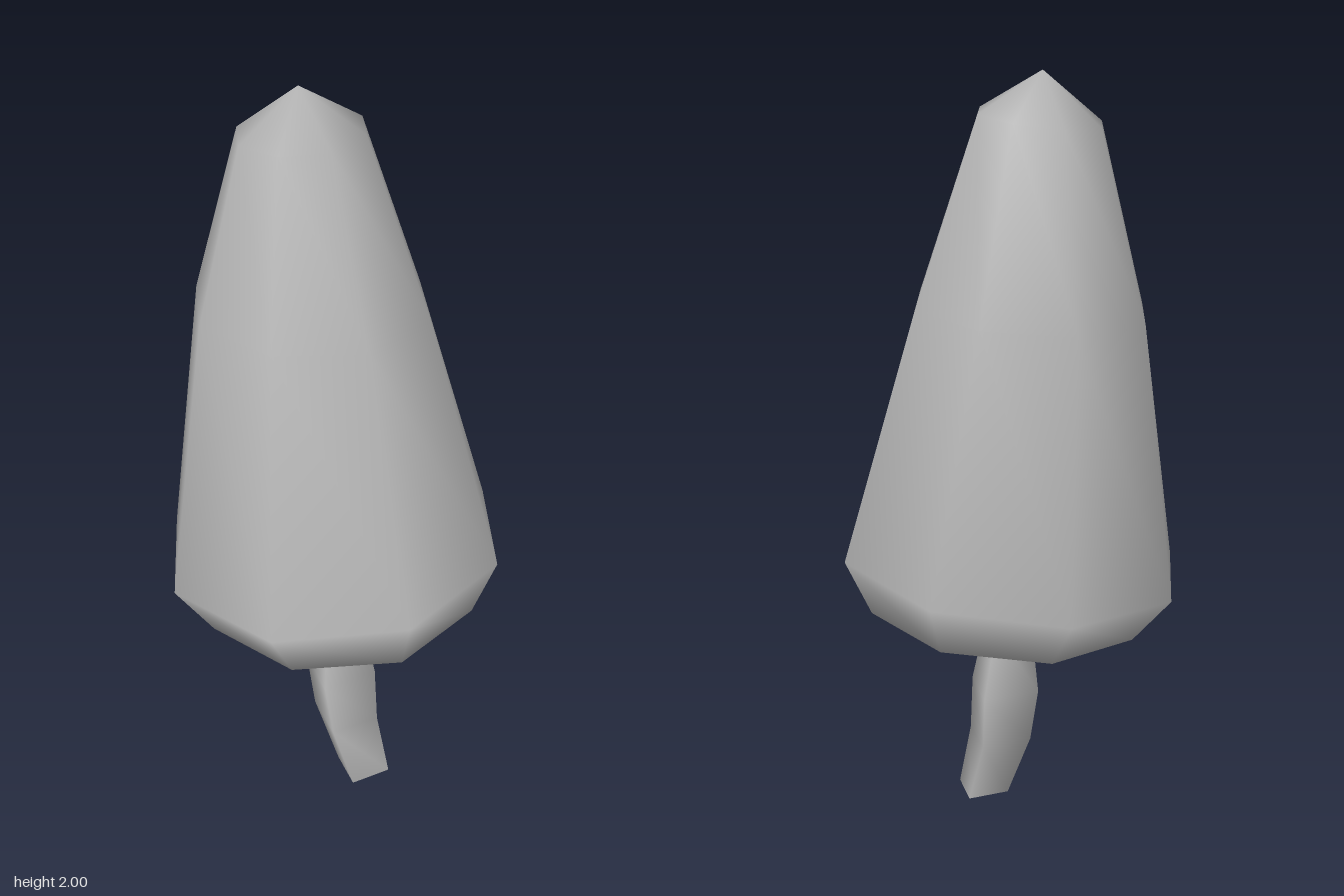
import * as THREE from 'three';

// Skin a stack of rings (bottom to top), closed by a single tip point at either end.
// Each ring: [cx, y, cz, rx, rz, tiltX, tiltZ], where the tilts are the slopes of y along x and z.
function skinRings(rings, sides, bottomTip, topTip) {
  const pos = [], idx = [];
  for (const [cx, y, cz, rx, rz, tx = 0, tz = 0] of rings) {
    for (let j = 0; j < sides; j++) {
      const a = (j / sides) * Math.PI * 2;
      const dx = Math.cos(a) * rx, dz = Math.sin(a) * rz;
      pos.push(cx + dx, y + dx * tx + dz * tz, cz + dz);
    }
  }
  for (let i = 0; i < rings.length - 1; i++) {
    for (let j = 0; j < sides; j++) {
      const k = (j + 1) % sides, lo = i * sides, up = lo + sides;
      idx.push(lo + j, up + j, up + k, lo + j, up + k, lo + k);
    }
  }
  const addTip = (tip, base, isTop) => {
    const t = pos.length / 3;
    pos.push(...tip);
    for (let j = 0; j < sides; j++) {
      const k = (j + 1) % sides;
      if (isTop) idx.push(t, base + k, base + j);
      else idx.push(t, base + j, base + k);
    }
  };
  if (bottomTip) addTip(bottomTip, 0, false);
  if (topTip) addTip(topTip, (rings.length - 1) * sides, true);
  const geo = new THREE.BufferGeometry();
  geo.setAttribute('position', new THREE.Float32BufferAttribute(pos, 3));
  geo.setIndex(idx);
  geo.computeVertexNormals();
  return geo;
}

export function createModel() {
  const group = new THREE.Group();
  group.name = 'tree';
  const grey = new THREE.MeshStandardMaterial({ color: 0xb8b8b8 });
  grey.name = 'plain grey';

  const add = (name, geo) => {
    const mesh = new THREE.Mesh(geo, grey);
    mesh.name = name;
    group.add(mesh);
  };

  // Leaning eight-sided crown
  add('crown', skinRings([
    [0.025, 0.576, 0.01, 0.37, 0.355, 0.068, -0.02],
    [0, 0.722, 0, 0.455, 0.44, 0.088, -0.03],
    [-0.067, 1.415, -0.03, 0.313, 0.27, 0.03, -0.01],
    [-0.085, 1.885, -0.015, 0.165, 0.147, 0.09, -0.03],
  ], 8, [0.03, 0.495, 0], [-0.09, 2, -0.012]));

  // Bent four-sided trunk, running a little way into the crown
  const trunkRings = [
    [0.11, 0, 0.045, 0.075, 0.085],
    [0.055, 0.18, 0.04, 0.092, 0.102, -0.03],
    [0.035, 0.335, 0.03, 0.1, 0.12],
    [0.025, 0.52, 0.032, 0.068, 0.076],
  ];
  add('trunk', skinRings(trunkRings, 4));

  // Flat sharp-edged foot of the trunk
  add('trunkBase', skinRings([trunkRings[0]], 4, [0.11, 0, 0.045]));

  return group;
}
